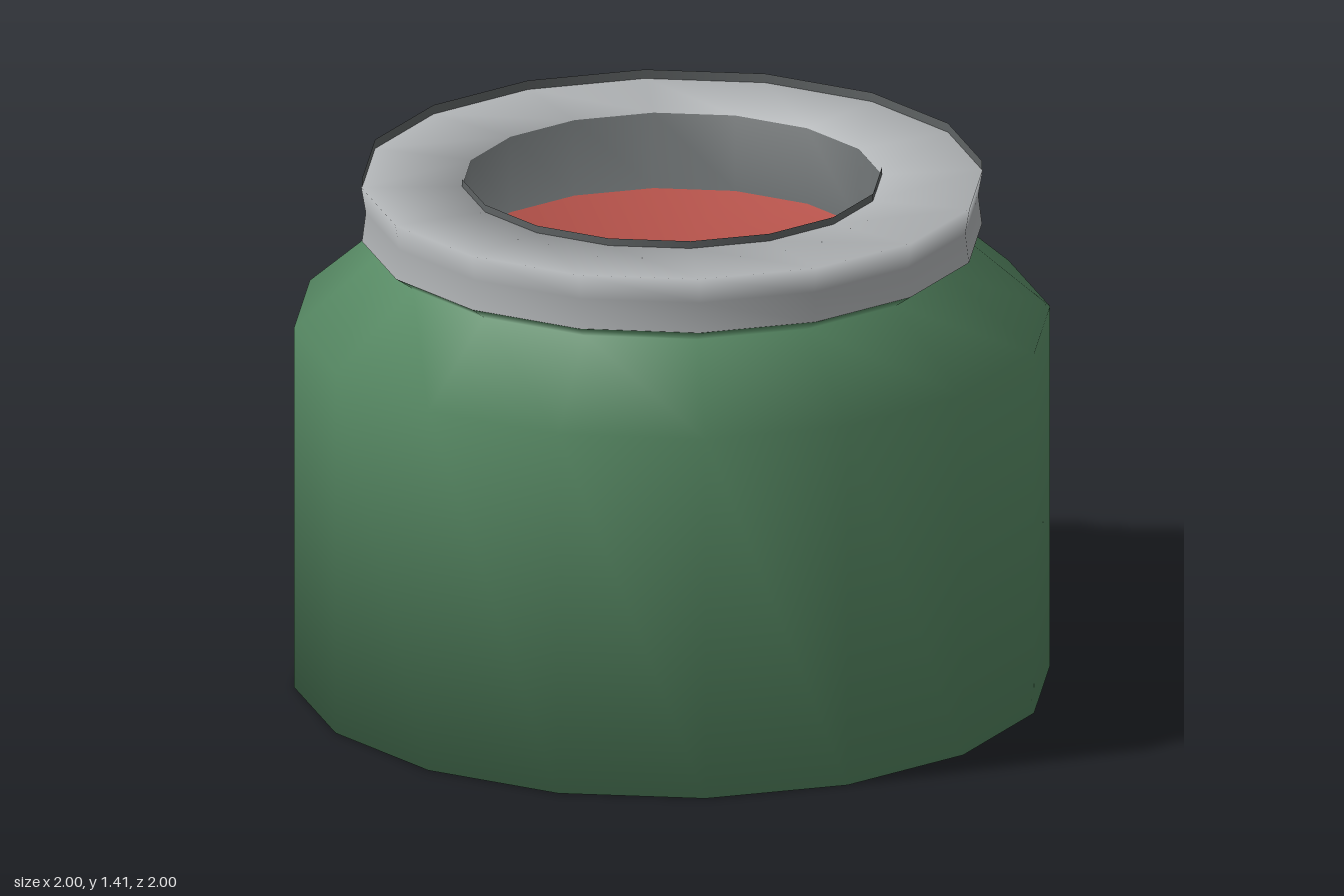
import * as THREE from 'three';

const SIDES = 16;

// Turn a profile of [radius, height] pairs into a sixteen-sided smooth surface
function turn(profile) {
  return new THREE.LatheGeometry(profile.map(([r, y]) => new THREE.Vector2(r, y)), SIDES);
}

export function createModel() {
  const material = (name, color) => {
    const m = new THREE.MeshStandardMaterial({ color });
    m.name = name;
    return m;
  };
  const green = material('green', 0x588b65);
  const grey = material('grey', 0xb0b3b5);
  const darkGrey = material('darkGrey', 0x5f6364);
  const red = material('red', 0xb5524a);

  const group = new THREE.Group();
  group.name = 'jar';
  const add = (name, geometry, mat) => {
    const mesh = new THREE.Mesh(geometry, mat);
    mesh.name = name;
    group.add(mesh);
  };

  // Body: closed base, straight wall, sloping shoulder, pinched neck flaring to the rim
  add('body', turn([[0, 0], [1, 0], [1, 1], [0.77, 1.2], [0.82, 1.235]]), green);

  // Waisted rim band, flat rim top, dark mouth wall and red contents, as one smooth surface
  const rim = turn([[0.82, 1.235], [0.81, 1.315], [0.822, 1.385], [0.555, 1.38], [0.555, 1.17], [0, 1.17]]);
  for (let i = 0; i < SIDES; i++) {
    rim.addGroup(i * 30, 18, 0);
    rim.addGroup(i * 30 + 18, 6, 1);
    rim.addGroup(i * 30 + 24, 6, 2);
  }
  add('rimMouthAndContents', rim, [grey, darkGrey, red]);

  // Dark lips: the outer one faces the axis, the inner one faces away from it
  add('outerLip', turn([[0.82, 1.41], [0.82, 1.375]]), darkGrey);
  add('mouthLip', turn([[0.555, 1.375], [0.555, 1.4]]), darkGrey);

  return group;
}
